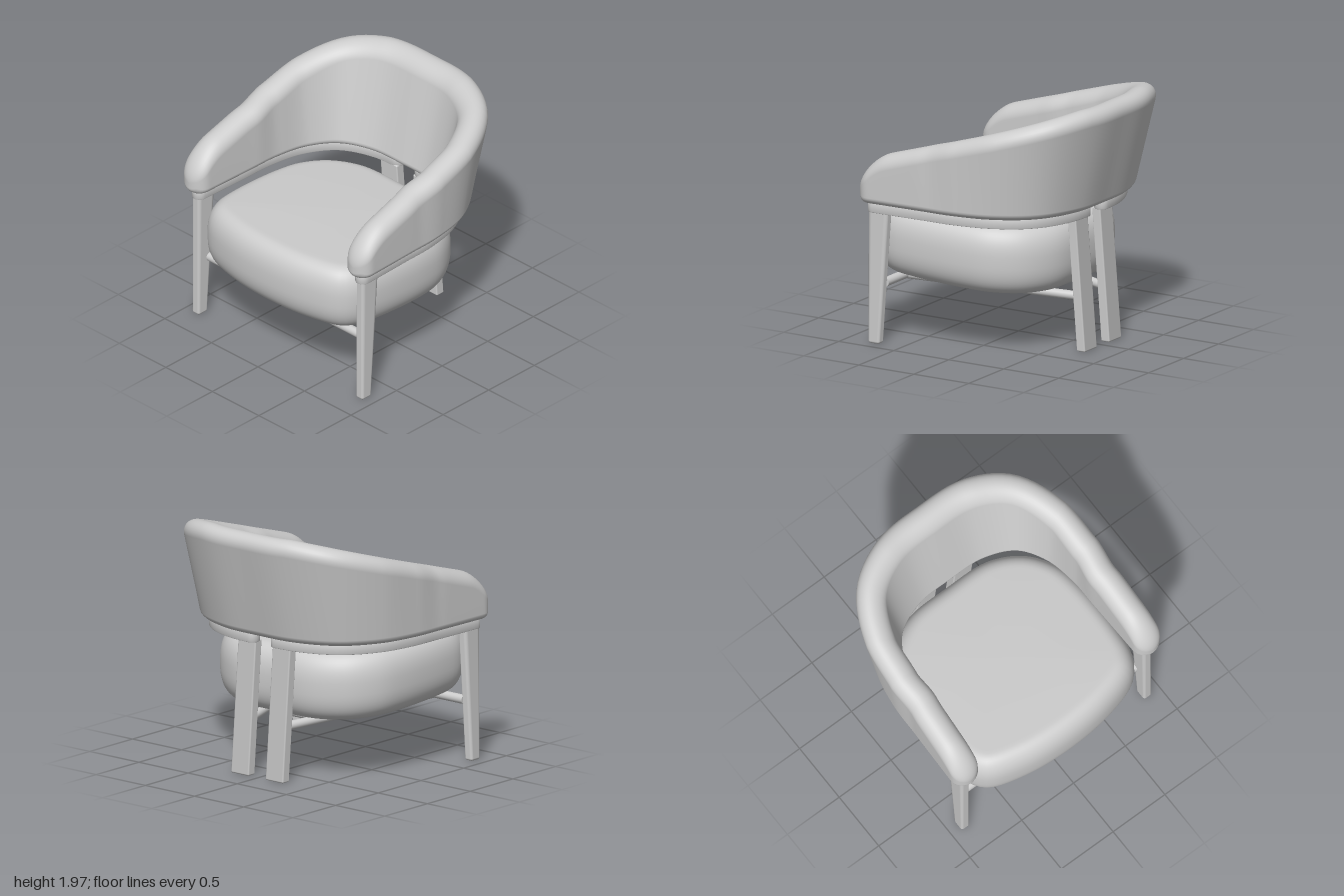
import * as THREE from 'three';
import { toCreasedNormals } from 'three/addons/utils/BufferGeometryUtils.js';
import { RoundedBoxGeometry } from 'three/addons/geometries/RoundedBoxGeometry.js';

const V = (x, y, z) => new THREE.Vector3(x, y, z);

// Smooth skin over a stack of closed rings, with both ends capped
function loft(rings) {
  const n = rings[0].length, pos = [], idx = [];
  rings.forEach(r => r.forEach(p => pos.push(p.x, p.y, p.z)));
  for (let i = 0; i < rings.length - 1; i++) {
    for (let j = 0; j < n; j++) {
      const a = i * n + j, b = i * n + (j + 1) % n;
      idx.push(a, a + n, b, b, a + n, b + n);
    }
  }
  [0, rings.length - 1].forEach((i, end) => {
    const c = V(0, 0, 0);
    rings[i].forEach(p => c.addScaledVector(p, 1 / n));
    const ci = pos.length / 3;
    pos.push(c.x, c.y, c.z);
    for (let j = 0; j < n; j++) {
      const a = i * n + j, b = i * n + (j + 1) % n;
      if (end) idx.push(ci, b, a); else idx.push(ci, a, b);
    }
  });
  const g = new THREE.BufferGeometry();
  g.setAttribute('position', new THREE.Float32BufferAttribute(pos, 3));
  g.setIndex(idx);
  g.computeVertexNormals();
  return g;
}

// Plan line shared by the backrest and the rail, from left arm round to right arm
const half = [[0.88, 0.86], [0.873, 0.6], [0.864, 0.3], [0.855, 0.03], [0.79, -0.27], [0.62, -0.52], [0.33, -0.65]];
const mirrored = half.map(([x, z]) => [-x, z]).reverse();
const plan = new THREE.CatmullRomCurve3([...half, [0, -0.668], ...mirrored].map(([x, z]) => V(x, 0, z)));
plan.arcLengthDivisions = 600;
const outward = t => { const d = plan.getTangentAt(t); return V(-d.z, 0, d.x).normalize(); };
const round = (e, r) => e >= r ? 1 : Math.sqrt(Math.max(0, 1 - (1 - e / r) ** 2));

// Wraparound backrest: rounded section, leaning outward at the back, sloping down to the arms
function backrestGeometry() {
  const ends = Array.from({ length: 18 }, (_, k) => 0.085 * (k / 18) ** 2);
  const mid = Array.from({ length: 81 }, (_, k) => 0.085 + 0.83 * k / 80);
  const ts = [...ends, ...mid, ...ends.map(t => 1 - t).reverse()];
  return loft(ts.map(t => {
    const c = plan.getPointAt(t), n = outward(t), e = 0.86 - c.z;
    const lean = 0.25 * Math.max(0, -n.z) ** 0.7;
    let top = 1.6;
    for (let k = 0; k < 6; k++) {
      const z = c.z + n.z * lean * (top - 1.12);
      top = Math.min(1.97, 1.535 - 0.304 * (z - 0.585));
    }
    top = 1.22 + (top - 1.22) * round(e, 0.27);
    const bottom = 1.17 - 0.05 * round(e, 0.06);
    const w = 0.118 * round(e, 0.11) + 0.0005;
    const rb = Math.min(0.07, w), rt = Math.min(w, (top - bottom) * 0.6);
    const ring = [];
    const put = (s, y) => {
      const d = s + lean * (y - 1.12);
      ring.push(V(c.x + n.x * d, y, c.z + n.z * d));
    };
    const arc = (s, y, rs, ry, a0, a1, k) => {
      for (let i = 0; i <= k; i++) {
        const a = (a0 + (a1 - a0) * i / k) * Math.PI;
        put(s + rs * Math.cos(a), y + ry * Math.sin(a));
      }
    };
    arc(w - rb, bottom + rb * 0.8, rb, rb * 0.8, -0.5, 0, 6);
    arc(0, top - rt, w, rt, 0, 1, 18);
    arc(rb - w, bottom + rb * 0.8, rb, rb * 0.8, 1, 1.5, 6);
    return ring;
  }));
}

// Thick seat cushion with a bowed front and softly rounded rims, tilted back
function cushionGeometry() {
  const side = [[0.84, 0], [0.84, 0.48], [0.8, 0.7], [0.7, 0.835], [0.4, 0.935]];
  const back = [[0.38, -0.6], [0.64, -0.46], [0.79, -0.24]];
  const flip = a => a.map(([x, z]) => [-x, z]).reverse();
  const pts = [...side, [0, 0.97], ...flip(side), ...flip(back), [0, -0.62], ...back];
  const outline = new THREE.CatmullRomCurve3(pts.map(([x, z]) => V(x, 0, z)), true);
  const N = 96, h = 0.27;
  const profile = [];
  for (let k = 0; k <= 28; k++) {
    const a = -Math.PI / 2 + Math.PI * k / 28, s = Math.sin(a), c = Math.cos(a);
    profile.push([0.17 * (1 - c ** 0.85), Math.sign(s) * h * Math.abs(s) ** 0.8, 1]);
  }
  // flat faces closing inward with a slight crown
  const crown = [0.75, 0.5, 0.25, 0.02];
  const levels = [
    ...[...crown].reverse().map(k => [0.17, -h, k]),
    ...profile,
    ...crown.map(k => [0.17, h + 0.015 * (1 - k * k), k]),
  ];
  return loft(levels.map(([inset, y, k]) => Array.from({ length: N }, (_, j) => {
    const p = outline.getPointAt(j / N), d = outline.getTangentAt(j / N);
    const x = (p.x - d.z * inset) * k, z = 0.18 + (p.z + d.x * inset - 0.18) * k;
    return V(x, 0.765 + y + 0.05 * z, z);
  })));
}

// Half of the flat rail, following the plan line with round ends
function railGeometry(side) {
  const r = 0.05, t0 = 0.028, pts = [];
  let t1 = 0.5;
  while (plan.getPointAt(t1).x < 0.13) t1 -= 0.001;
  const edge = (t, a) => {
    const c = plan.getPointAt(t), n = outward(t), d = plan.getTangentAt(t);
    const s = r * Math.cos(a), f = r * Math.sin(a);
    pts.push(new THREE.Vector2(side * (c.x + n.x * s + d.x * f), c.z + n.z * s + d.z * f));
  };
  for (let k = 0; k <= 40; k++) edge(t0 + (t1 - t0) * k / 40, 0);
  for (let k = 1; k < 12; k++) edge(t1, Math.PI * k / 12);
  for (let k = 40; k >= 0; k--) edge(t0 + (t1 - t0) * k / 40, Math.PI);
  for (let k = 1; k < 12; k++) edge(t0, Math.PI * (1 + k / 12));
  const g = new THREE.ExtrudeGeometry(new THREE.Shape(pts), {
    depth: 0.06, bevelThickness: 0.01, bevelSize: 0.01, bevelSegments: 2,
  });
  g.rotateX(Math.PI / 2).translate(0, 1.115, 0);
  return toCreasedNormals(g, 0.6);
}

// Leg whose front and back edges run between given z values at foot and top
function legGeometry(width, height, radius, foot, top) {
  const g = new RoundedBoxGeometry(width, height, 0.1, 4, radius);
  const p = g.attributes.position;
  for (let i = 0; i < p.count; i++) {
    const k = p.getY(i) / height + 0.5, f = p.getZ(i) / 0.1 + 0.5;
    const zb = foot[0] + (top[0] - foot[0]) * k, zf = foot[1] + (top[1] - foot[1]) * k;
    p.setXYZ(i, p.getX(i), p.getY(i) + height / 2, zb + (zf - zb) * f);
  }
  return g;
}

// Round bar between two points
function barGeometry(a, b, r) {
  const d = b.clone().sub(a);
  const g = new THREE.CylinderGeometry(r, r, d.length(), 20);
  g.applyQuaternion(new THREE.Quaternion().setFromUnitVectors(V(0, 1, 0), d.normalize()));
  const m = a.clone().add(b).multiplyScalar(0.5);
  return g.translate(m.x, m.y, m.z);
}

export function createModel() {
  const model = new THREE.Group();
  model.name = 'armchair';
  const grey = new THREE.MeshStandardMaterial({ color: 0xcccccc });
  grey.name = 'light grey';
  const add = (name, geometry, x = 0) => {
    const m = new THREE.Mesh(geometry, grey);
    m.name = name;
    m.position.x = x;
    model.add(m);
  };

  add('backrest', backrestGeometry());
  add('seatCushion', cushionGeometry());

  for (const [label, s] of [['left', 1], ['right', -1]]) {
    add(label + 'Rail', railGeometry(s));
    add(label + 'FrontLeg', legGeometry(0.076, 1.06, 0.02, [0.69, 0.79], [0.61, 0.79]), s * 0.88);
    add(label + 'BackLeg', legGeometry(0.18, 1.06, 0.012, [-0.77, -0.695], [-0.685, -0.61]), s * 0.175);
    add(label + 'Stretcher', barGeometry(V(s * 0.55, 0.485, 0.66), V(s * 0.175, 0.415, -0.67), 0.035));
  }
  add('frontStretcher', barGeometry(V(-0.86, 0.487, 0.67), V(0.86, 0.487, 0.67), 0.036));
  add('crossStretcher', barGeometry(V(-0.27, 0.433, -0.33), V(0.27, 0.433, -0.33), 0.03));
  return model;
}
